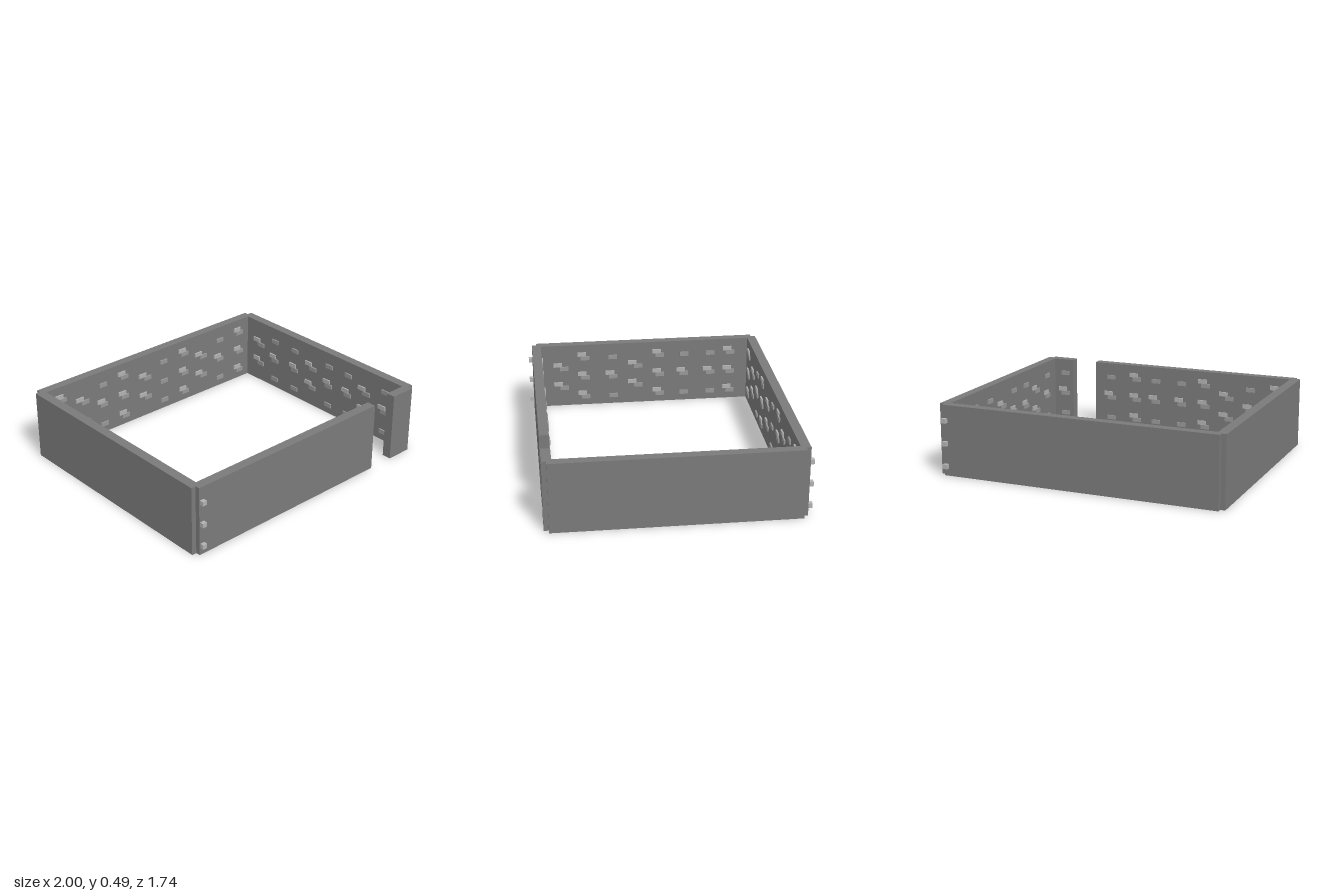
import * as THREE from 'three';

const H = 0.485, T = 0.065;
const ROWS = [0.067, 0.223, 0.38];
const MID_ROWS = [0.145, 0.3];

export function createModel() {
  const model = new THREE.Group();
  const paint = (color) => new THREE.MeshStandardMaterial({ color, flatShading: true });
  const wallGrey = paint(0x7a7a7a), brickGrey = paint(0x989898), lightGrey = paint(0xb2b2b2);

  function box(parent, name, material, w, h, d, x, y, z) {
    const mesh = new THREE.Mesh(new THREE.BoxGeometry(w, h, d), material);
    mesh.name = name;
    mesh.position.set(x, y, z);
    parent.add(mesh);
  }

  // A wall runs along local x with its inner face at z = -dist, facing +z.
  // sections: [from, to] spans; columns: centres of raised bricks;
  // wide: indices of half-row staggered columns; single: columns without pairs.
  function wall(name, angle, dist, sections, columns, wide, single = []) {
    const g = new THREE.Group();
    g.name = name;
    g.rotation.y = angle;
    for (const [a, b] of sections) {
      box(g, 'wallPanel', wallGrey, b - a, H, T, (a + b) / 2, H / 2, -dist - T / 2);
    }
    const brick = (x, y) => box(g, 'raisedBrick', brickGrey, 0.065, 0.031, 0.02, x, y, -dist);
    const upperBrick = (x, y) => box(g, 'upperBrick', lightGrey, 0.065, 0.031, 0.02, x, y + 0.031, -dist);
    columns.forEach((c, i) => {
      if (wide.includes(i)) {
        for (const y of MID_ROWS) {
          brick(c + 0.023, y);
          upperBrick(c - 0.023, y);
        }
      } else {
        const paired = !single.includes(i);
        ROWS.forEach((y, r) => {
          brick(c + (paired ? 0.012 : 0), y);
          if (paired && (r === 1 || i % 3 === 0)) upperBrick(c - 0.012, y);
        });
      }
    });
    model.add(g);
  }

  // Four walls, the front one broken by the doorway
  wall('backWall', 0, 0.78, [[-0.967, 0.963]],
    [-0.825, -0.645, -0.475, -0.285, -0.085, 0.09, 0.28, 0.45, 0.628, 0.83], [1, 4, 7], [5]);
  wall('frontWall', Math.PI, 0.78, [[-0.59, 0.967], [-0.965, -0.78]],
    [0.835, 0.633, 0.46, 0.285, 0.1, -0.107, -0.262, -0.47, -0.857], [2]);
  wall('rightWall', Math.PI / 2, 0.935, [[-0.813, 0.813]],
    [0.64, 0.487, 0.285, 0.1, -0.075, -0.255, -0.465, -0.635], [4, 7]);
  wall('leftWall', -Math.PI / 2, 0.935, [[-0.813, 0.813]],
    [-0.648, -0.482, -0.27, -0.092, 0.083, 0.272, 0.44, 0.625], [0, 3, 6]);

  // Pegs sticking out at two opposite corners
  for (const s of [1, -1]) {
    for (const y of ROWS) box(model, 'cornerPeg', lightGrey, 0.032, 0.031, 0.07, -0.945 * s, y, 0.837 * s);
  }
  return model;
}
